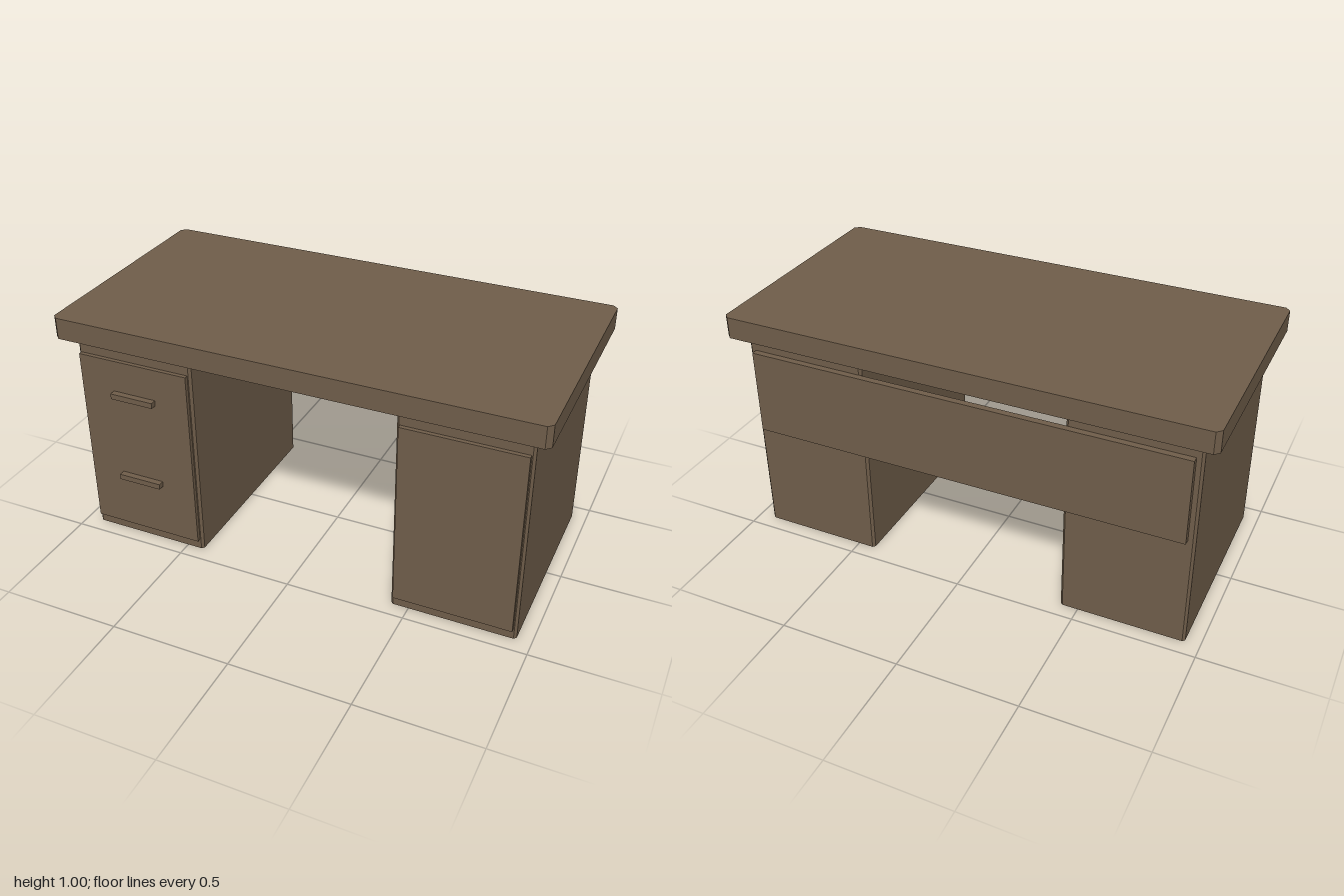
import * as THREE from 'three';

const wood = new THREE.MeshStandardMaterial({ color: 0x705e4a });
wood.name = 'brown wood';
const dark = new THREE.MeshStandardMaterial({ color: 0x3c3c3c });
dark.name = 'dark base';

// Upright slab whose four vertical edges are chamfered
function chamferedSlab(name, width, height, depth, cut) {
  const x = width / 2, z = depth / 2;
  const outline = new THREE.Shape([
    [x, -z + cut], [x, z - cut], [x - cut, z], [-x + cut, z],
    [-x, z - cut], [-x, -z + cut], [-x + cut, -z], [x - cut, -z],
  ].map(([a, b]) => new THREE.Vector2(a, b)));
  const geometry = new THREE.ExtrudeGeometry(outline, { depth: height, bevelEnabled: false });
  geometry.rotateX(-Math.PI / 2);
  const mesh = new THREE.Mesh(geometry, wood);
  mesh.name = name;
  return mesh;
}

// Box given by its minimum and maximum corners
function box(name, min, max, material = wood) {
  const size = max.map((v, i) => v - min[i]);
  const mesh = new THREE.Mesh(new THREE.BoxGeometry(...size), material);
  mesh.position.set(...max.map((v, i) => (v + min[i]) / 2));
  mesh.name = name;
  return mesh;
}

export function createModel() {
  const desk = new THREE.Group();
  desk.name = 'desk';

  // Worktop, floating just above the pedestals
  const top = chamferedSlab('worktop', 2, 0.09, 1, 0.02);
  top.position.y = 0.91;
  desk.add(top);

  // Two pedestals with raised front panels
  for (const side of [-1, 1]) {
    const pedestal = new THREE.Group();
    pedestal.name = side > 0 ? 'leftPedestal' : 'rightPedestal';
    pedestal.position.x = side * 0.682;
    pedestal.add(chamferedSlab('cabinet', 0.514, 0.887, 0.874, 0.01));
    pedestal.add(box('frontPanel', [-0.243, 0.046, 0.436], [0.243, 0.834, 0.454]));
    if (side < 0) {
      // Drawer handles
      for (const y of [0.298, 0.685]) {
        pedestal.add(box('handle', [-0.095, y - 0.012, 0.453], [0.095, y + 0.012, 0.48]));
      }
    } else {
      // Dark underside
      pedestal.add(box('basePlate', [-0.245, -0.0005, -0.425], [0.245, 0.004, 0.425], dark));
    }
    desk.add(pedestal);
  }

  // Modesty panel across the back
  desk.add(box('modestyPanel', [-0.91, 0.48, -0.463], [0.91, 0.84, -0.436]));

  return desk;
}
